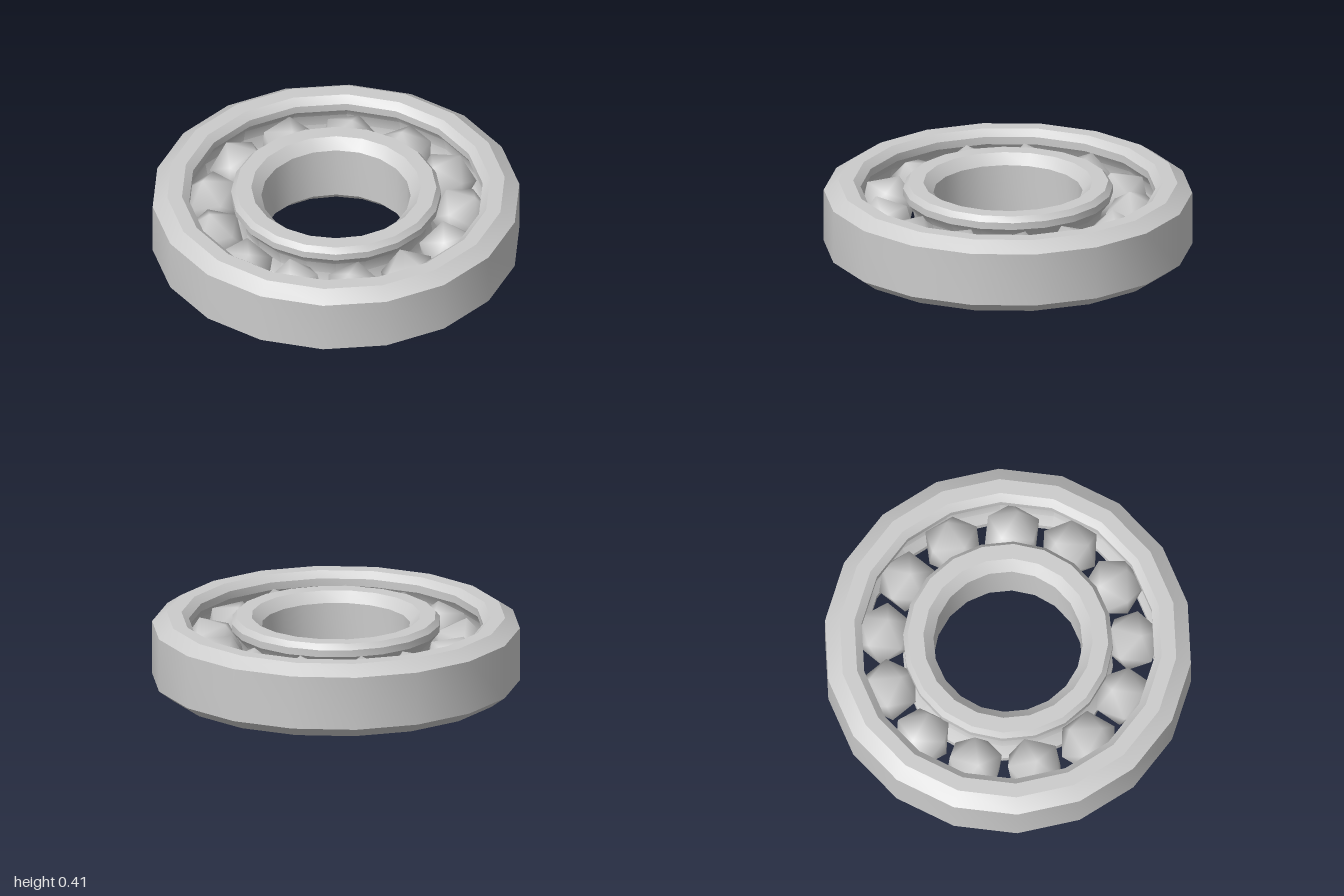
import * as THREE from 'three';
import { toCreasedNormals } from 'three/addons/utils/BufferGeometryUtils.js';

const HEIGHT = 0.41, MID = HEIGHT / 2;
const PITCH = 0.68, BALL_R = 0.168, GROOVE_R = 0.175, BALLS = 13;

const material = new THREE.MeshStandardMaterial({ color: 0xcccccc });

// Points of the ball groove, from angle a to angle b around the ball centre
function groove(a, b, steps = 4) {
  return Array.from({ length: steps + 1 }, (_, i) => {
    const t = a + (b - a) * i / steps;
    return [PITCH + GROOVE_R * Math.cos(t), MID + GROOVE_R * Math.sin(t)];
  });
}

// Closed counter-clockwise profile turned round the y axis
function ring(name, profile, segments) {
  const points = [...profile, profile[0]].map(([r, y]) => new THREE.Vector2(r, y));
  const geometry = new THREE.LatheGeometry(points, segments);
  geometry.rotateY(Math.PI / 2);
  const mesh = new THREE.Mesh(toCreasedNormals(geometry, 0.5), material);
  mesh.name = name;
  return mesh;
}

export function createModel() {
  const model = new THREE.Group();
  model.name = 'ballBearing';

  // Outer ring: chamfered rim outside, groove inside
  const outerLip = Math.acos((0.8 - PITCH) / GROOVE_R);
  model.add(ring('outerRing', [
    [0.84, 0], [0.92, 0], [1, 0.06], [1, 0.355], [0.92, HEIGHT], [0.84, HEIGHT],
    [0.8, 0.375], ...groove(outerLip, -outerLip), [0.8, 0.035],
  ], 18));

  // Inner ring: groove outside, chamfered bore inside
  const innerLip = Math.acos((0.57 - PITCH) / GROOVE_R);
  model.add(ring('innerRing', [
    [0.46, 0], [0.545, 0], [0.57, 0.03],
    ...groove(2 * Math.PI - innerLip, innerLip),
    [0.57, 0.38], [0.545, HEIGHT], [0.46, HEIGHT], [0.405, 0.355], [0.405, 0.055],
  ], 20));

  // Low-poly balls with smooth radial normals
  const ballGeometry = new THREE.IcosahedronGeometry(BALL_R, 0);
  const position = ballGeometry.attributes.position;
  const normal = ballGeometry.attributes.normal;
  for (let i = 0; i < position.count; i++) {
    const n = new THREE.Vector3().fromBufferAttribute(position, i).normalize();
    normal.setXYZ(i, n.x, n.y, n.z);
  }

  const balls = new THREE.Group();
  balls.name = 'balls';
  for (let i = 0; i < BALLS; i++) {
    const angle = i * 2 * Math.PI / BALLS;
    const ball = new THREE.Mesh(ballGeometry, material);
    ball.name = 'ball';
    ball.position.set(PITCH * Math.cos(angle), MID, PITCH * Math.sin(angle));
    // varied turn so the facets do not line up
    ball.rotation.set(i * 1.3, i * 2.1, i * 0.7);
    balls.add(ball);
  }
  model.add(balls);

  return model;
}
